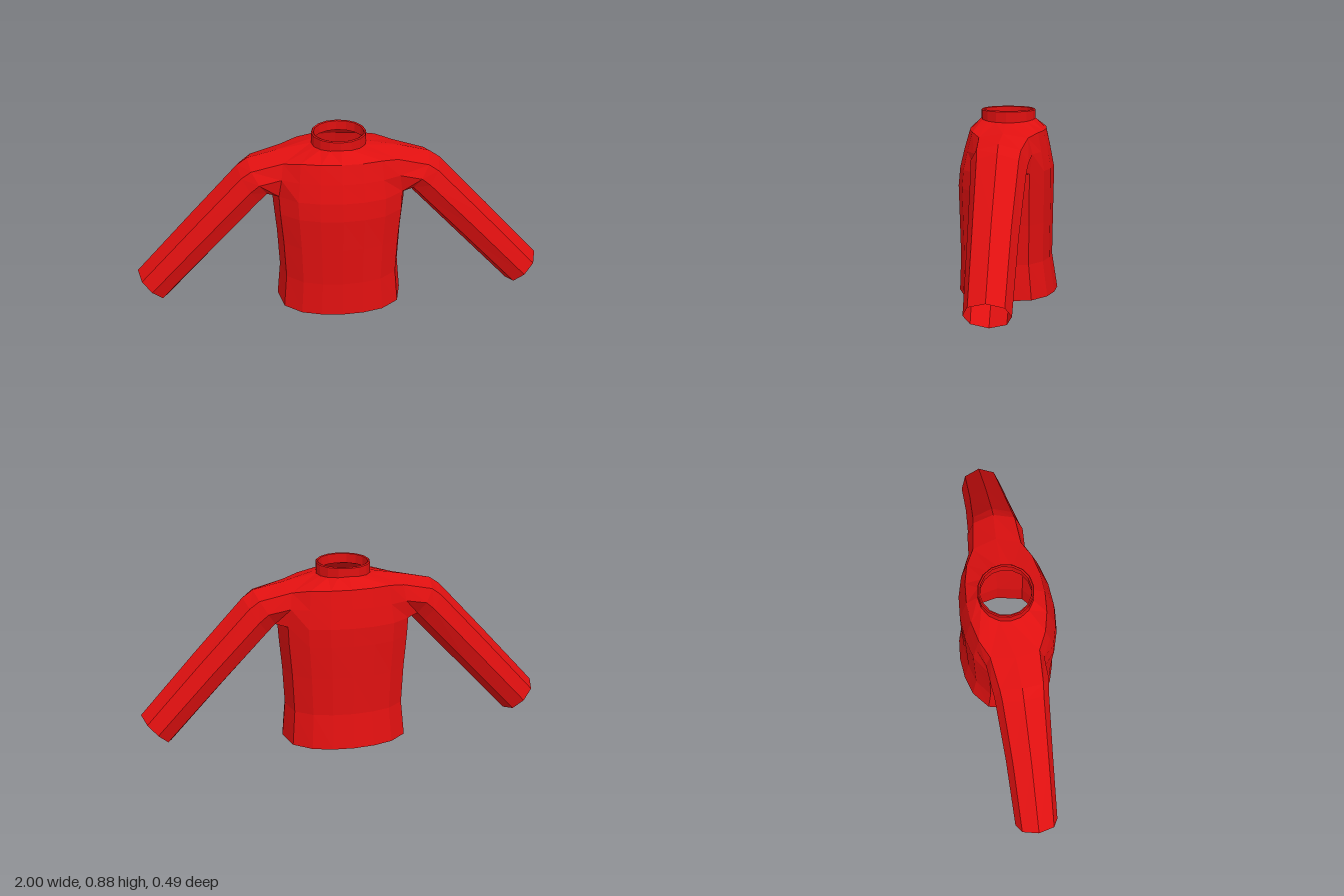
import * as THREE from 'three';

// Quarter of the torso outline, from the side seam to the middle of the chest
const QUARTER = [[1, 0], [0.91, 0.55], [0.64, 0.84], [0.33, 0.96], [0, 1]];
const N = 16;

// Closed torso ring; sideZ optionally sets the depth of the armhole edge
function torsoRing(y, halfX, front, back, sideZ) {
  return Array.from({ length: N }, (_, i) => {
    const h = i % 8, q = h <= 4 ? h : 8 - h;
    const [px, pz] = QUARTER[q];
    const sx = (i < 4 || i > 12) ? 1 : -1;
    const sz = i <= 8 ? 1 : -1;
    const z = q === 1 && sideZ ? sideZ : pz * (sz > 0 ? front : back);
    return new THREE.Vector3(sx * px * halfX, y, sz * z);
  });
}

function circleRing(y, r, sideY = y) {
  return Array.from({ length: N }, (_, i) => {
    const a = (i / N) * Math.PI * 2;
    return new THREE.Vector3(r * Math.cos(a), y + (sideY - y) * Math.abs(Math.cos(a)), r * Math.sin(a));
  });
}

// Join consecutive loops with faces, leaving out those that skip() rejects
function loft(rings, skip = () => false, flip = false) {
  const pos = [];
  for (let i = 0; i < rings.length - 1; i++) {
    const n = rings[i].length;
    for (let j = 0; j < n; j++) {
      if (skip(i, j)) continue;
      const k = (j + 1) % n;
      const a = rings[i][j], b = rings[i + 1][j], c = rings[i + 1][k], d = rings[i][k];
      for (const p of flip ? [a, c, b, a, d, c] : [a, b, c, a, c, d]) pos.push(p.x, p.y, p.z);
    }
  }
  const g = new THREE.BufferGeometry();
  g.setAttribute('position', new THREE.Float32BufferAttribute(pos, 3));
  g.computeVertexNormals();
  return g;
}

// Eight-sided sleeve section between a lower and an upper point
function sleeveSection([x0, y0], [x1, y1], halfZ, offZ) {
  const v = [0, 0.16, 0.5, 0.84, 1, 0.84, 0.5, 0.16];
  const w = [0, 0.75, 1, 0.75, 0, -0.75, -1, -0.75];
  return v.map((t, i) => new THREE.Vector3(x0 + (x1 - x0) * t, y0 + (y1 - y0) * t, offZ + w[i] * halfZ));
}

export function createModel() {
  const group = new THREE.Group();
  const red = new THREE.MeshStandardMaterial({ color: 0xe01010, side: THREE.DoubleSide, flatShading: true });
  red.name = 'red knit';
  const add = (name, geometry) => {
    const mesh = new THREE.Mesh(geometry, red);
    mesh.name = name;
    group.add(mesh);
  };

  // Torso, with armholes left open between the armpit and shoulder rows
  const torso = [
    torsoRing(0, 0.31, 0.24, 0.243),
    torsoRing(0.17, 0.295, 0.234, 0.216),
    torsoRing(0.36, 0.305, 0.239, 0.219),
    torsoRing(0.52, 0.32, 0.243, 0.222),
    torsoRing(0.61, 0.325, 0.234, 0.222, 0.125),
    torsoRing(0.7, 0.31, 0.212, 0.205, 0.137),
    torsoRing(0.79, 0.3, 0.185, 0.185, 0.115),
    circleRing(0.84, 0.132, 0.828),
  ];
  const armpit = torso[4], chest = torso[5], shoulder = torso[6];
  for (const i of [0, 8]) {
    armpit[i].y = 0.6;
    shoulder[i].y = 0.797;
  }
  for (const i of [1, 7, 9, 15]) shoulder[i].y = 0.775;
  add('torso', loft(torso, (i, j) => (i === 4 || i === 5) && [15, 0, 7, 8].includes(j)));

  // Sleeves, starting exactly on the armhole edges
  const armhole = [armpit[0], armpit[1], chest[1], shoulder[1], shoulder[0], shoulder[15], chest[15], armpit[15]];
  const sleeve = [
    armhole,
    sleeveSection([0.335, 0.592], [0.44, 0.765], 0.135, 0.008),
    sleeveSection([0.37, 0.55], [0.49, 0.73], 0.128, 0.008),
    sleeveSection([0.6, 0.305], [0.73, 0.47], 0.114, 0.01),
    sleeveSection([0.86, 0.027], [1, 0.172], 0.105, 0.008),
  ];
  const mirrored = sleeve.map(r => r.map(p => new THREE.Vector3(-p.x, p.y, p.z)));
  add('leftSleeve', loft(sleeve));
  add('rightSleeve', loft(mirrored, undefined, true));

  // Collar band, folded over to an inner wall
  add('collar', loft([
    circleRing(0.84, 0.132, 0.828),
    circleRing(0.85, 0.132),
    circleRing(0.88, 0.132),
    circleRing(0.885, 0.127),
    circleRing(0.882, 0.12),
    circleRing(0.835, 0.12),
  ]));
  return group;
}
